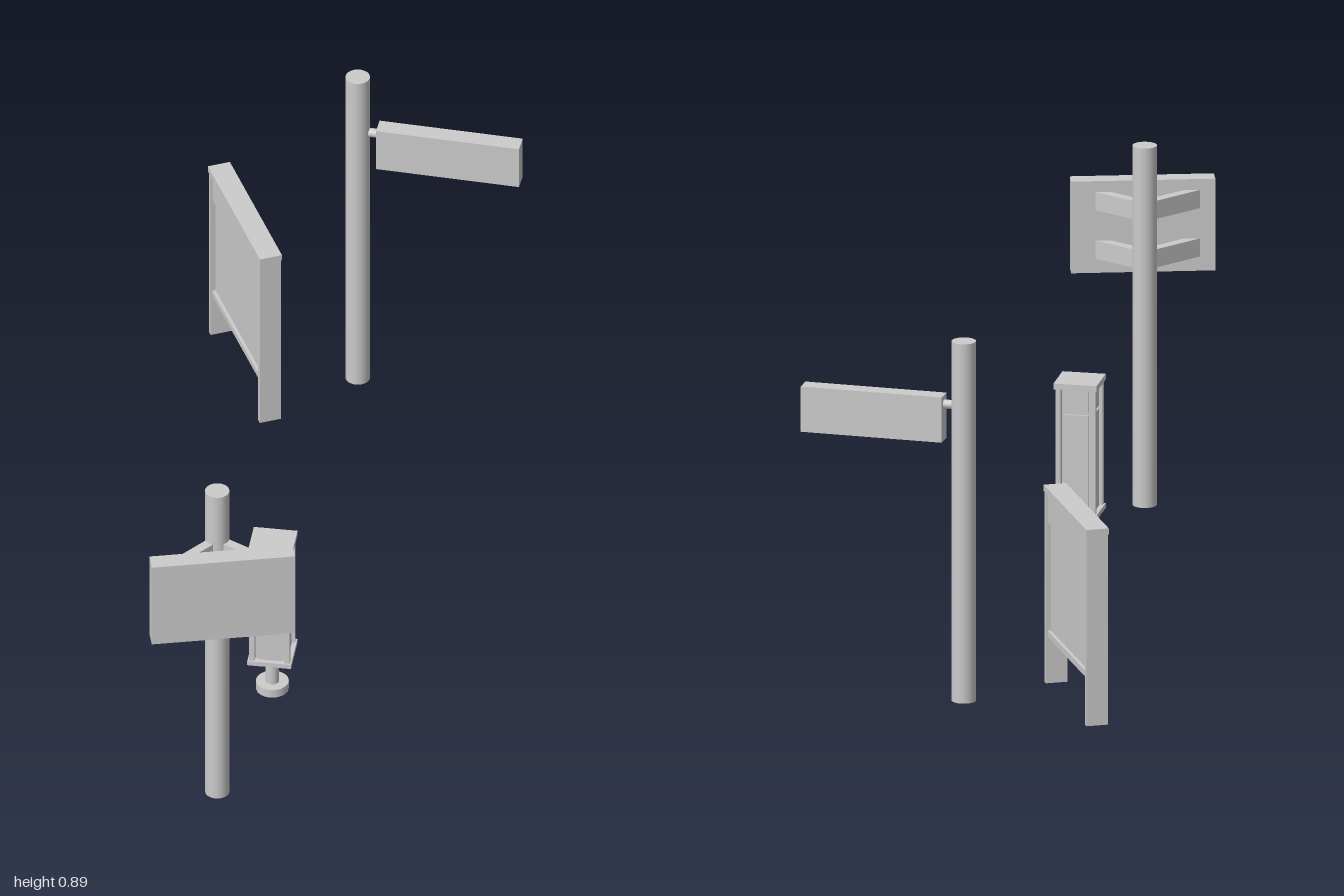
import * as THREE from 'three';

const grey = new THREE.MeshStandardMaterial({ color: 0xcccccc });

function add(parent, name, geometry, x, y, z) {
  const mesh = new THREE.Mesh(geometry, grey);
  mesh.name = name;
  mesh.position.set(x, y, z);
  parent.add(mesh);
  return mesh;
}

// Box given by its bottom and top heights
function box(parent, name, w, d, y0, y1, x = 0, z = 0) {
  return add(parent, name, new THREE.BoxGeometry(w, y1 - y0, d), x, (y0 + y1) / 2, z);
}

function rod(parent, name, r, y0, y1, x = 0, z = 0) {
  return add(parent, name, new THREE.CylinderGeometry(r, r, y1 - y0, 32), x, (y0 + y1) / 2, z);
}

function group(parent, name, x, z, turn) {
  const g = new THREE.Group();
  g.name = name;
  g.position.set(x, 0, z);
  g.rotation.y = turn;
  parent.add(g);
  return g;
}

// Horizontal bar joining two points on the plan
function strut(parent, name, a, b, width, y0, y1) {
  const dx = b[0] - a[0], dz = b[1] - a[1];
  const bar = box(parent, name, Math.hypot(dx, dz), width, y0, y1, (a[0] + b[0]) / 2, (a[1] + b[1]) / 2);
  bar.rotation.y = Math.atan2(-dz, dx);
}

// Pole with a wide panel held by splayed brackets
function panelSign(root) {
  const sign = group(root, 'panelSign', 0, 0, 0);
  const pole = [-0.045, 0.82];
  rod(sign, 'panelPole', 0.029, 0, 0.89, ...pole);
  const panel = box(sign, 'signPanel', 0.343, 0.045, 0.55, 0.777, -0.014, 0.926);
  panel.rotation.y = 0.31;
  for (const y of [0.705, 0.585])
    for (const end of [[-0.14, 0.953], [0.085, 0.882]])
      strut(sign, 'bracket', pole, end, 0.024, y, y + 0.045);
}

// Pole with a single pointing arm
function fingerSign(root) {
  const sign = group(root, 'fingerSign', -0.008, -0.855, -0.03);
  rod(sign, 'fingerPole', 0.029, 0, 0.89);
  box(sign, 'fingerArm', 0.347, 0.043, 0.64, 0.752, 0.222, 0);
  const stub = add(sign, 'armStub', new THREE.CylinderGeometry(0.011, 0.011, 0.06, 16), 0.035, 0.73, 0);
  stub.rotation.z = Math.PI / 2;
}

// Two-legged notice board with cap, header, recessed pane and bottom rail
function noticeBoard(root) {
  const board = group(root, 'noticeBoard', -0.273, -0.816, -1.07);
  box(board, 'cap', 0.39, 0.055, 0.472, 0.487);
  for (const s of [-1, 1]) box(board, 'leg', 0.014, 0.053, 0, 0.472, s * 0.184);
  box(board, 'header', 0.354, 0.045, 0.4, 0.472);
  box(board, 'pane', 0.354, 0.029, 0.13, 0.4);
  box(board, 'bottomRail', 0.354, 0.045, 0.115, 0.13);
}

// Square lantern-like totem on a short stem
function totem(root) {
  const t = group(root, 'totem', 0.011, 0.393, 0.03);
  rod(t, 'base', 0.039, 0, 0.022);
  rod(t, 'stem', 0.016, 0.022, 0.1);
  box(t, 'bottomPlate', 0.105, 0.105, 0.1, 0.112);
  box(t, 'topPlate', 0.105, 0.105, 0.418, 0.432);
  box(t, 'core', 0.072, 0.072, 0.112, 0.418);
  for (const x of [-1, 1])
    for (const z of [-1, 1]) box(t, 'cornerPost', 0.013, 0.013, 0.112, 0.418, x * 0.042, z * 0.042);
  // Lower and upper panels on all four faces
  for (let i = 0; i < 4; i++) {
    const face = group(t, 'face', 0, 0, i * Math.PI / 2);
    box(face, 'lowerPanel', 0.06, 0.006, 0.112, 0.353, 0, 0.038);
    box(face, 'upperPanel', 0.06, 0.006, 0.361, 0.418, 0, 0.038);
  }
}

export function createModel() {
  const root = new THREE.Group();
  root.name = 'waySigns';
  panelSign(root);
  fingerSign(root);
  noticeBoard(root);
  totem(root);
  return root;
}
